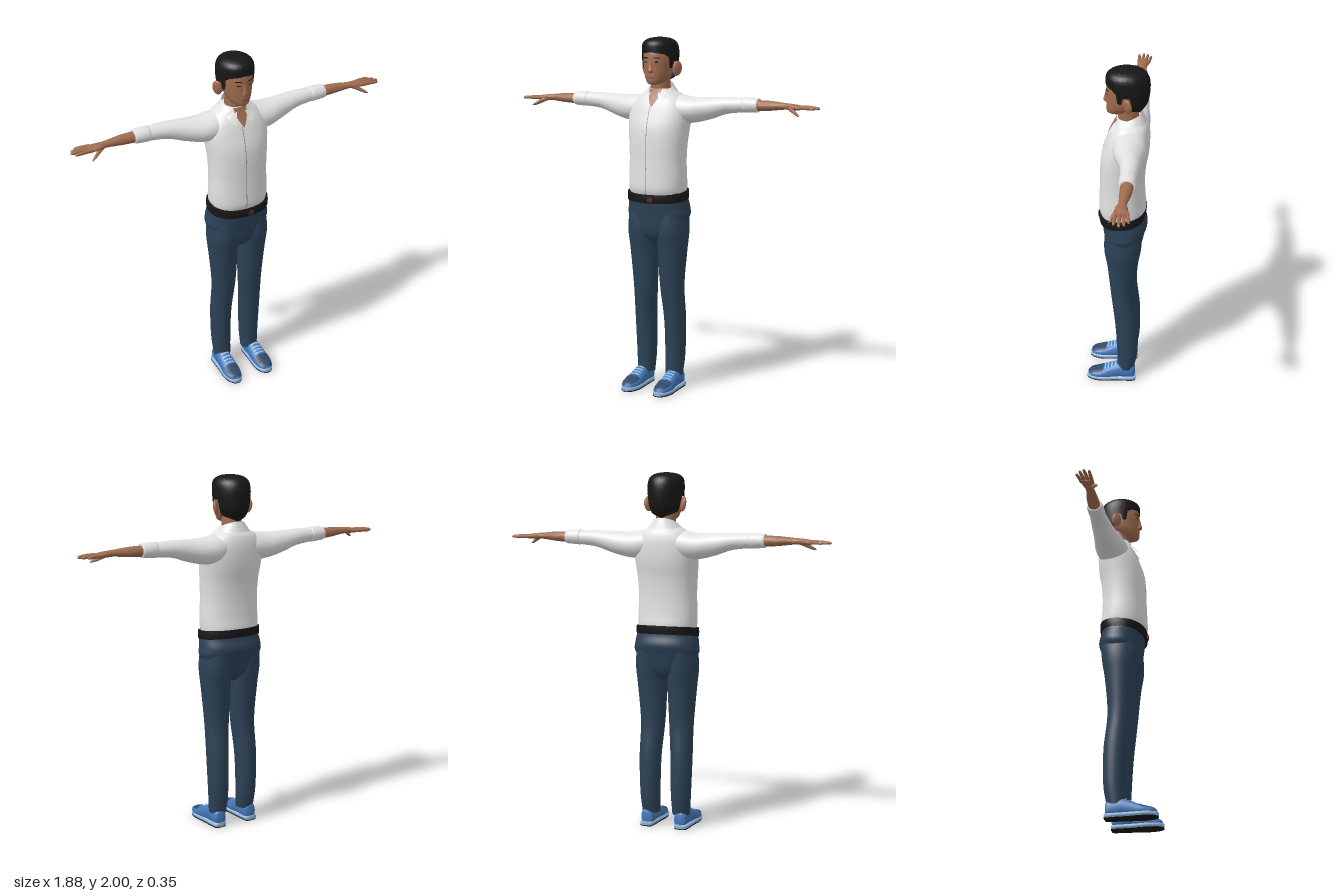
import * as THREE from 'three';
import { mergeVertices, toCreasedNormals } from 'three/addons/utils/BufferGeometryUtils.js';

const V = (x, y, z) => new THREE.Vector3(x, y, z);

function mat(name, color, side = THREE.FrontSide) {
  const m = new THREE.MeshStandardMaterial({ color, side });
  m.name = name;
  return m;
}

// Grid surface from fn(u, v); capped closes both ends of a tube.
function surface(fn, nu, nv, capped) {
  const rows = [];
  for (let j = 0; j <= nv; j++) {
    const row = [];
    for (let i = 0; i <= nu; i++) row.push(fn(i / nu, j / nv));
    rows.push(row);
  }
  const middle = (row) => {
    const c = V(0, 0, 0);
    for (let i = 0; i < nu; i++) c.addScaledVector(row[i], 1 / nu);
    return row.map(() => c);
  };
  if (capped) {
    rows.unshift(middle(rows[0]));
    rows.push(middle(rows[rows.length - 1]));
  }
  const index = [], w = nu + 1;
  for (let j = 0; j < rows.length - 1; j++) {
    for (let i = 0; i < nu; i++) {
      const a = j * w + i, b = a + 1, c = b + w, d = a + w;
      index.push(a, b, d, b, c, d);
    }
  }
  const g = new THREE.BufferGeometry().setFromPoints(rows.flat());
  g.setIndex(index);
  return toCreasedNormals(mergeVertices(g, 1e-5), 1.0);
}

// Smooth tube through stations [t, c1, c2, r1, r2] along an axis; returns fn(angle, s).
// Axis y: c = (x, z). Axis x: c = (y, z). Axis z: c = (x, y).
function tube(axis, stations, p = 2) {
  const centre = new THREE.CatmullRomCurve3(stations.map((q) => V(q[0], q[1], q[2])), false, 'catmullrom', 0.5);
  const radius = new THREE.CatmullRomCurve3(stations.map((q) => V(q[3], q[4], 0)), false, 'catmullrom', 0.5);
  const bend = (k) => Math.sign(k) * Math.abs(k) ** (2 / p);
  return (a, s) => {
    const c = centre.getPoint(s), r = radius.getPoint(s);
    const co = bend(Math.cos(a)), si = bend(Math.sin(a));
    if (axis === 'y') return V(c.y + r.x * si, c.x, c.z + r.y * co);
    if (axis === 'x') return V(c.x, c.y + r.x * co, c.z + r.y * si);
    return V(c.y + r.x * co, c.z + r.y * si, c.x);
  };
}

const wrap = (f) => (u, v) => f(u * Math.PI * 2, v);
const mirror = (fn) => (u, v) => { const q = fn(1 - u, v); q.x = -q.x; return q; };
// Thin painted patch lying just above an upright tube.
const patch = (f, a0, a1, s0, s1, lift) => (u, v) => {
  const a = a0 + (a1 - a0) * u;
  return f(a, s0 + (s1 - s0) * v).add(V(Math.sin(a) * lift, 0, Math.cos(a) * lift));
};

export function createModel() {
  const root = new THREE.Group();
  root.name = 'standingMan';
  const skin = mat('skin', 0xa06c50), hair = mat('black', 0x171717, THREE.DoubleSide);
  const shirt = mat('shirtWhite', 0xe2e2e2, THREE.DoubleSide), seam = mat('seamGrey', 0x8c8c8c);
  const lips = mat('lips', 0x8a5546), trousers = mat('trouserBlue', 0x2c4156);
  const denim = mat('shoeBlue', 0x4478b8), pale = mat('paleBlue', 0x93b9e0);
  const navy = mat('navy', 0x30496a), red = mat('buckleRed', 0x5e2420);

  const add = (name, fn, m, nu = 28, nv = 20, capped = true) => {
    const mesh = new THREE.Mesh(surface(fn, nu, nv, capped), m);
    mesh.name = name;
    root.add(mesh);
  };
  const pair = (name, fn, ...rest) => {
    add('left' + name, fn, ...rest);
    add('right' + name, mirror(fn), ...rest);
  };

  // Head and neck
  const head = tube('y', [[1.738, 0, 0.03, 0.02, 0.022], [1.75, 0, 0.008, 0.044, 0.055], [1.78, 0, -0.015, 0.066, 0.08],
    [1.82, 0, -0.03, 0.078, 0.095], [1.87, 0, -0.035, 0.084, 0.101], [1.92, 0, -0.04, 0.083, 0.099],
    [1.955, 0, -0.045, 0.07, 0.08], [1.98, 0, -0.05, 0.035, 0.045], [1.985, 0, -0.05, 0.005, 0.005]]);
  add('head', wrap(head), skin, 36, 32);
  add('neck', wrap(tube('y', [[1.6, 0, -0.06, 0.06, 0.06], [1.68, 0, -0.055, 0.056, 0.058], [1.79, 0, -0.05, 0.054, 0.056]])), skin);
  add('nose', wrap(tube('y', [[1.803, 0, 0.06, 0.011, 0.008], [1.812, 0, 0.065, 0.016, 0.016],
    [1.835, 0, 0.063, 0.011, 0.013], [1.872, 0, 0.06, 0.007, 0.008]])), skin, 16, 10);
  pair('Eye', patch(head, 0.28, 0.52, 0.473, 0.488, 0.002), hair, 6, 2, false);
  pair('Brow', patch(head, 0.2, 0.62, 0.53, 0.545, 0.002), hair, 6, 2, false);
  add('mouth', patch(head, -0.32, 0.32, 0.23, 0.255, 0.003), lips, 8, 2, false);
  for (const side of [1, -1]) {
    const ear = new THREE.Mesh(new THREE.SphereGeometry(1, 18, 14), skin);
    ear.name = side > 0 ? 'leftEar' : 'rightEar';
    ear.scale.set(0.014, 0.042, 0.029);
    ear.position.set(side * 0.102, 1.826, -0.054);
    ear.rotation.set(0, -side * 0.65, -side * 0.15);
    root.add(ear);
  }

  // Hair cap with fringe, sideburns, ear notches and nape
  const cap = tube('y', [[1.75, 0, -0.045, 0.065, 0.07], [1.8, 0, -0.047, 0.088, 0.105], [1.85, 0, -0.05, 0.096, 0.115],
    [1.92, 0, -0.05, 0.1, 0.118], [1.965, 0, -0.045, 0.092, 0.108], [1.99, 0, -0.045, 0.06, 0.07], [2, 0, -0.045, 0.001, 0.001]]);
  const hairline = [[0, 0.49], [0.8, 0.46], [1.05, 0.42], [1.12, 0.27], [1.32, 0.27], [1.38, 0.38], [1.72, 0.38], [1.85, 0.12], [3.15, 0]];
  const edge = (a) => {
    const k = Math.min(a, Math.PI * 2 - a);
    const i = hairline.findIndex((h) => h[0] > k), [a0, s0] = hairline[i - 1], [a1, s1] = hairline[i];
    return s0 + (s1 - s0) * (k - a0) / (a1 - a0);
  };
  add('hair', wrap((a, v) => cap(a, edge(a) + (1 - edge(a)) * v)), hair, 96, 24, false);

  // Shirt body, open neck, button seam and collar
  const torso = tube('y', [[1.11, 0, -0.025, 0.155, 0.112], [1.155, 0, -0.025, 0.165, 0.13], [1.22, 0, -0.022, 0.167, 0.127],
    [1.32, 0, -0.022, 0.164, 0.123], [1.42, 0, -0.026, 0.169, 0.125], [1.5, 0, -0.037, 0.177, 0.128], [1.57, 0, -0.05, 0.183, 0.12],
    [1.63, 0, -0.06, 0.168, 0.108], [1.675, 0, -0.066, 0.13, 0.09], [1.7, 0, -0.062, 0.09, 0.075], [1.715, 0, -0.058, 0.07, 0.066]], 2.3);
  add('shirtBody', wrap(torso), shirt, 48, 40);
  add('openNeck', (u, v) => patch(torso, -0.5 * v, 0.5 * v, 0.67, 1, 0.004)(u, v), skin, 10, 10, false);
  add('buttonSeam', patch(torso, -0.046, -0.03, 0.06, 0.68, 0.002), seam, 1, 30, false);
  add('collar', (u, v) => {
    const gap = 0.46 - 0.1 * v, a = gap + u * (Math.PI * 2 - 2 * gap), w = (1 + Math.cos(a)) / 2;
    const low = V(0.1 * Math.sin(a), 1.695 - 0.015 * w - 0.075 * w ** 7, -0.055 + (0.095 + 0.035 * w) * Math.cos(a));
    const top = V(0.068 * Math.sin(a), 1.752 - 0.06 * w, -0.052 + 0.076 * Math.cos(a));
    return low.lerp(top, v);
  }, shirt, 48, 4, false);

  // Sleeves with rolled cuffs
  pair('Sleeve', wrap(tube('x', [[0.04, 1.625, -0.07, 0.05, 0.07], [0.11, 1.606, -0.07, 0.077, 0.09], [0.2, 1.6, -0.072, 0.072, 0.088],
    [0.3, 1.612, -0.082, 0.061, 0.066], [0.4, 1.63, -0.09, 0.046, 0.052], [0.52, 1.636, -0.09, 0.038, 0.041]])), shirt, 28, 24);
  pair('Cuff', wrap(tube('x', [[0.495, 1.636, -0.09, 0.037, 0.04], [0.502, 1.636, -0.09, 0.042, 0.045], [0.54, 1.637, -0.09, 0.041, 0.045],
    [0.58, 1.637, -0.09, 0.038, 0.042], [0.585, 1.637, -0.09, 0.034, 0.037]])), shirt, 28, 12);

  // Forearms, palms, fingers and thumbs
  pair('Forearm', wrap(tube('x', [[0.56, 1.635, -0.09, 0.03, 0.034], [0.65, 1.637, -0.087, 0.027, 0.031], [0.74, 1.638, -0.081, 0.018, 0.022],
    [0.78, 1.636, -0.078, 0.017, 0.03], [0.82, 1.634, -0.08, 0.014, 0.036], [0.845, 1.633, -0.081, 0.01, 0.034]])), skin, 22, 22);
  const fingers = [[0.908, -0.11, -0.121], [0.932, -0.091, -0.1], [0.942, -0.072, -0.076], [0.928, -0.054, -0.05]];
  fingers.forEach(([tip, z0, z1], i) => {
    const mid = (tip + 0.825) / 2;
    pair('Finger' + (i + 1), wrap(tube('x', [[0.825, 1.634, z0, 0.01, 0.01], [mid, 1.634, (z0 + z1) / 2, 0.0095, 0.009],
      [tip - 0.008, 1.632, z1, 0.007, 0.007], [tip, 1.631, z1, 0.002, 0.002]])), skin, 10, 9);
  });
  pair('Thumb', wrap(tube('x', [[0.755, 1.635, -0.072, 0.01, 0.012], [0.79, 1.622, -0.055, 0.013, 0.013],
    [0.825, 1.603, -0.034, 0.01, 0.01], [0.846, 1.592, -0.022, 0.003, 0.004]])), skin, 12, 9);

  // Trousers
  add('hips', wrap(tube('y', [[0.85, 0, -0.03, 0.03, 0.05], [0.9, 0, -0.03, 0.115, 0.095], [1, 0, -0.035, 0.183, 0.115],
    [1.05, 0, -0.038, 0.183, 0.125], [1.1, 0, -0.028, 0.176, 0.121], [1.14, 0, -0.025, 0.168, 0.12]], 2.2)), trousers, 40, 24);
  pair('TrouserLeg', wrap(tube('y', [[0.078, 0.091, -0.05, 0.05, 0.051], [0.2, 0.093, -0.06, 0.057, 0.06], [0.4, 0.094, -0.054, 0.062, 0.066],
    [0.6, 0.086, -0.033, 0.07, 0.068], [0.8, 0.089, -0.03, 0.083, 0.085], [0.92, 0.092, -0.03, 0.09, 0.103],
    [1.02, 0.09, -0.035, 0.085, 0.105]])), trousers, 28, 32);

  // Belt, lower at the front, and buckle
  const belt = tube('y', [[1.098, 0, -0.025, 0.177, 0.128], [1.121, 0, -0.025, 0.178, 0.132], [1.145, 0, -0.025, 0.176, 0.132]], 2.3);
  add('belt', wrap((a, s) => { const q = belt(a, s); q.y -= (q.z + 0.025) * 0.12; return q; }), hair, 48, 4);
  const buckle = new THREE.Mesh(new THREE.BoxGeometry(0.032, 0.026, 0.008), red);
  buckle.name = 'buckle';
  buckle.position.set(0.018, 1.106, 0.107);
  root.add(buckle);

  // Shoes: upper, toe panel, laces, sole, tread and ankle
  const shape = tube('z', [[-0.106, 0.1, 0.05, 0.02, 0.03], [-0.098, 0.1, 0.053, 0.034, 0.045], [-0.06, 0.1, 0.058, 0.04, 0.05],
    [-0.01, 0.101, 0.06, 0.043, 0.05], [0.05, 0.102, 0.045, 0.047, 0.043], [0.1, 0.104, 0.035, 0.049, 0.03],
    [0.15, 0.104, 0.03, 0.038, 0.021], [0.17, 0.103, 0.026, 0.016, 0.012]], 2.3);
  const upper = (a, s) => { const q = shape(a, s); q.y = Math.max(q.y, 0.015); return q; };
  pair('ShoeUpper', wrap(upper), denim, 28, 24);
  pair('ToePanel', (u, v) => upper(0.5 + u * 2.14, 0.66 + 0.33 * v).add(V(0, 0.003, 0)), navy, 14, 10, false);
  for (let i = 0; i < 4; i++) {
    const s = 0.46 + i * 0.05;
    pair('Lace' + (i + 1), (u, v) => upper(0.95 + u * 1.24, s + 0.024 * v).add(V(0, 0.004, 0.001)), pale, 8, 2, false);
  }
  const outline = [[-0.11, 0.025], [-0.1, 0.037], [-0.05, 0.042], [0, 0.044], [0.05, 0.049], [0.1, 0.052], [0.15, 0.041], [0.176, 0.018]];
  const slab = (y, ry, grow) => wrap(tube('z', outline.map(([z, r]) => [z, 0.103, y, r + grow, ry]), 5));
  pair('Sole', slab(0.016, 0.012, 0), pale, 32, 22);
  pair('Tread', slab(0.003, 0.003, -0.001), hair, 32, 22);
  pair('Ankle', wrap(tube('y', [[0.05, 0.095, -0.045, 0.036, 0.045], [0.13, 0.093, -0.05, 0.036, 0.04]])), skin, 18, 2);

  return root;
}
